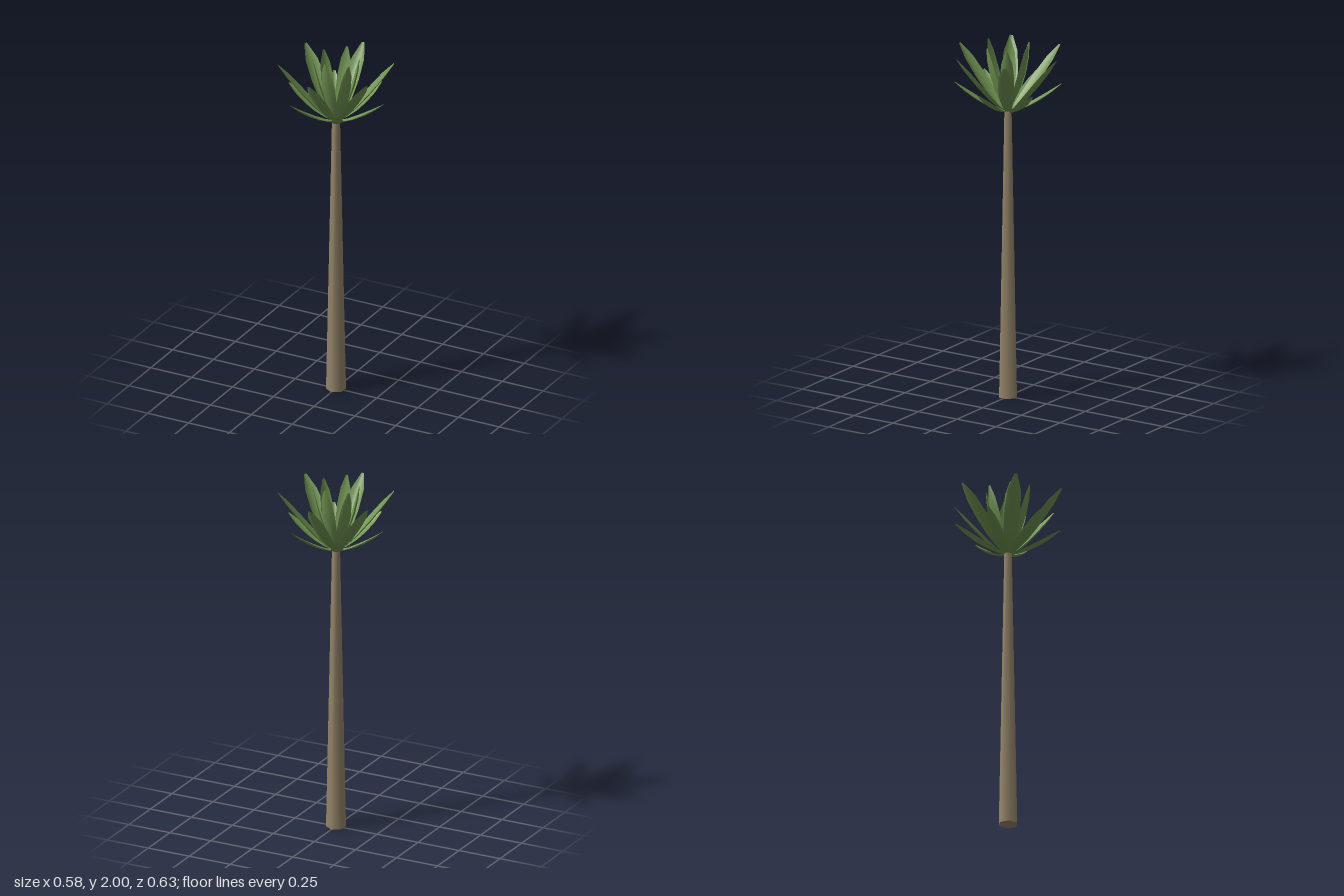
import * as THREE from 'three';

// Cupped leaf blade. Each row: [distance out, height, half width, cup depth]
function leafGeometry(rows) {
  const across = [-1, -0.55, 0, 0.55, 1];
  const path = new THREE.CatmullRomCurve3(rows.map(([r, y]) => new THREE.Vector3(0, y, r)));
  const pos = [], index = [];
  rows.forEach(([r, y, w, d], i) => {
    const t = path.getTangent(i / (rows.length - 1));
    for (const u of across) {
      // the edges are raised along the upper normal (0, t.z, -t.y)
      pos.push(u * w, y + t.z * d * u * u, r - t.y * d * u * u);
    }
  });
  const n = across.length;
  for (let i = 0; i < rows.length - 1; i++) {
    for (let j = 0; j < n - 1; j++) {
      const a = i * n + j, b = a + 1, c = a + n, e = c + 1;
      index.push(a, b, c, b, e, c);
    }
  }
  const g = new THREE.BufferGeometry();
  g.setAttribute('position', new THREE.Float32BufferAttribute(pos, 3));
  g.setIndex(index.map((_, k) => index[k - (k % 3) + [0, 2, 1][k % 3]]));
  g.computeVertexNormals();
  return g;
}

export function createModel() {
  const model = new THREE.Group();
  const bark = new THREE.MeshStandardMaterial({ color: 0x96866a });
  bark.name = 'bark';
  const green = new THREE.MeshStandardMaterial({ color: 0x6f9250, side: THREE.DoubleSide });
  green.name = 'leafGreen';

  // Six-sided tapered trunk
  const trunk = new THREE.Mesh(new THREE.CylinderGeometry(0.022, 0.054, 1.61, 6), bark);
  trunk.name = 'trunk';
  trunk.position.y = 0.805;
  model.add(trunk);

  // Three rings of six leaves
  const rings = [
    ['innerLeaf', 0, [
      [0, 1.605, 0.012, 0.002], [0.035, 1.66, 0.022, 0.008], [0.073, 1.74, 0.036, 0.014],
      [0.103, 1.83, 0.039, 0.015], [0.122, 1.92, 0.03, 0.011], [0.128, 1.992, 0.006, 0.001]]],
    ['middleLeaf', 0, [
      [0, 1.605, 0.012, 0.002], [0.06, 1.64, 0.025, 0.008], [0.12, 1.695, 0.039, 0.015],
      [0.19, 1.775, 0.044, 0.017], [0.262, 1.868, 0.037, 0.013], [0.313, 1.945, 0.008, 0.001]]],
    ['outerLeaf', Math.PI / 6, [
      [0, 1.605, 0.01, 0.002], [0.06, 1.62, 0.021, 0.006], [0.12, 1.645, 0.032, 0.011],
      [0.18, 1.68, 0.033, 0.012], [0.24, 1.725, 0.025, 0.008], [0.289, 1.77, 0.006, 0.001]]],
  ];
  for (const [name, offset, rows] of rings) {
    const geometry = leafGeometry(rows);
    for (let i = 0; i < 6; i++) {
      const leaf = new THREE.Mesh(geometry, green);
      leaf.name = name;
      leaf.rotation.y = offset + i * Math.PI / 3;
      // the front and back inner leaves stand slightly taller
      if (name === 'innerLeaf') leaf.position.y = i % 3 === 0 ? 0.008 : -0.01;
      model.add(leaf);
    }
  }
  return model;
}
